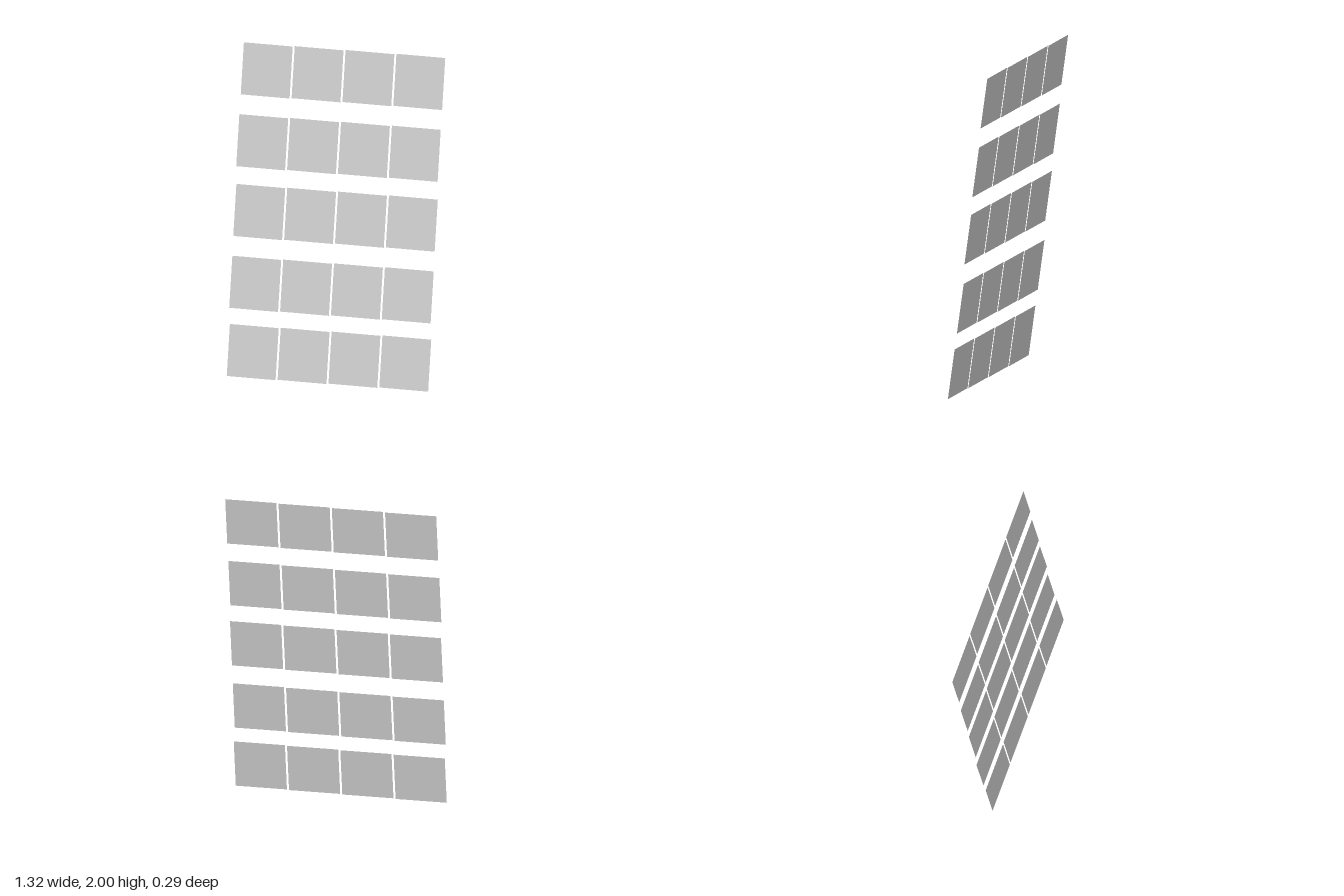
import * as THREE from 'three';

const TILE = 0.314;                              // square tile side
const STEP = new THREE.Vector3(0.3265, 0, 0.0086); // offset between tiles in a row
const TILT = new THREE.Euler(-0.144, -0.026, -0.01, 'YXZ');

// Row centres, bottom to top
const ROWS = [
  [-0.007, 0.157, 0.1075],
  [-0.011, 0.564, 0.051],
  [-0.003, 0.995, 0.0],
  [-0.002, 1.413, -0.051],
  [0.007, 1.843, -0.1075],
];

export function createModel() {
  const model = new THREE.Group();
  model.name = 'panelArray';

  const material = new THREE.MeshStandardMaterial({ color: 0xcccccc, side: THREE.DoubleSide });
  const geometry = new THREE.PlaneGeometry(TILE, TILE);

  ROWS.forEach((centre, r) => {
    const row = new THREE.Group();
    row.name = `panelRow${r + 1}`;
    row.position.set(...centre);
    // Four thin square panels, each leaning slightly back
    for (let i = 0; i < 4; i++) {
      const panel = new THREE.Mesh(geometry, material);
      panel.name = `panel${i + 1}`;
      panel.position.copy(STEP).multiplyScalar(i - 1.5);
      panel.rotation.copy(TILT);
      row.add(panel);
    }
    model.add(row);
  });
  return model;
}
